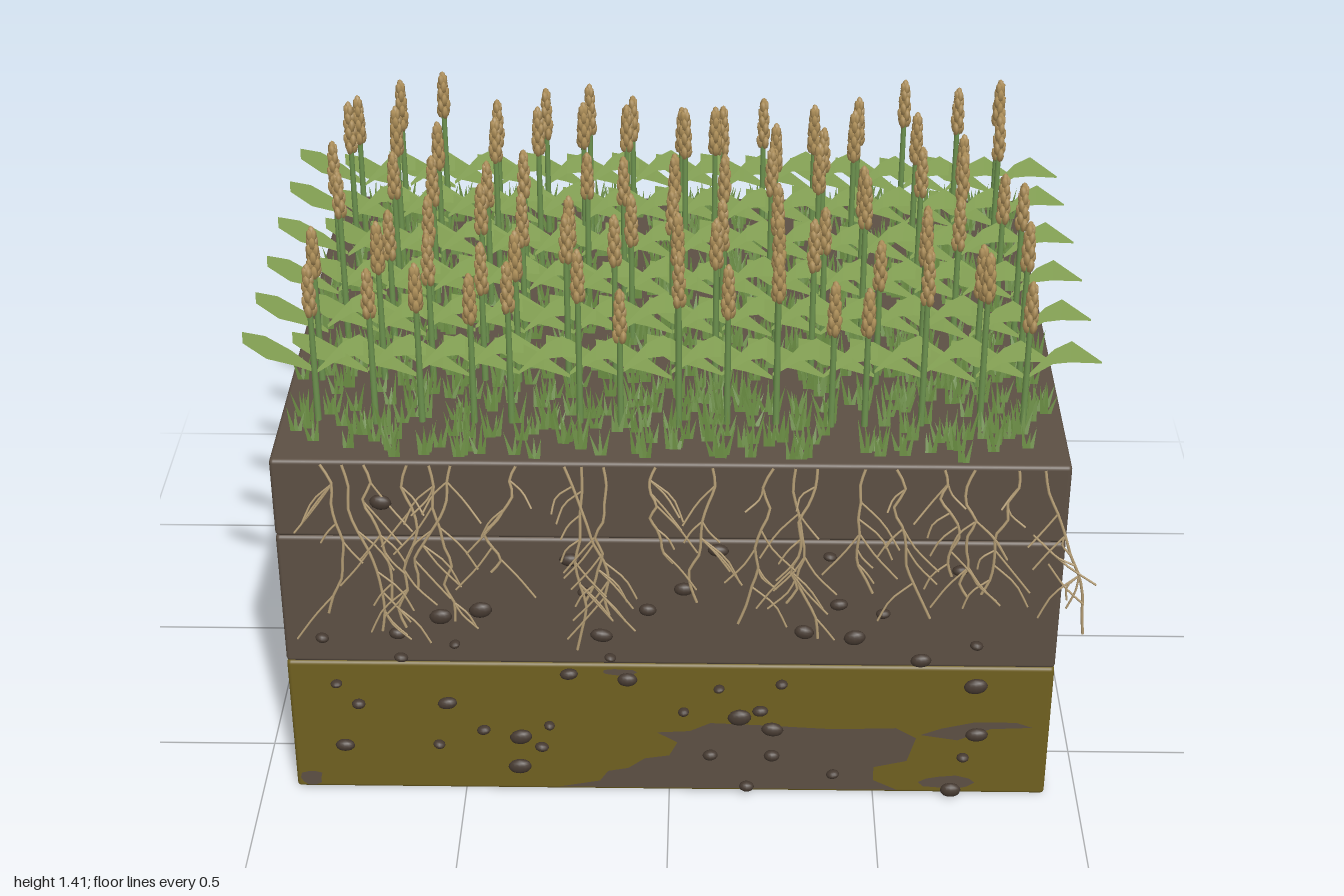
import * as THREE from 'three';
import { mergeGeometries } from 'three/addons/utils/BufferGeometryUtils.js';
import { RoundedBoxGeometry } from 'three/addons/geometries/RoundedBoxGeometry.js';

// Small seeded generator so that the field is always the same
let seed = 7;
const rnd = (a = 0, b = 1) => {
  seed = (seed * 16807) % 2147483647;
  return a + (b - a) * (seed / 2147483647);
};

const mat = (name, color, extra = {}) => {
  const m = new THREE.MeshStandardMaterial({ color, ...extra });
  m.name = name;
  return m;
};

const X0 = -0.918, X1 = 0.922, Z0 = -0.705, Z1 = 0.67, TOP = 0.948;

// Open surface from loose triangles
function triangles(points) {
  const g = new THREE.BufferGeometry();
  g.setAttribute('position', new THREE.Float32BufferAttribute(points, 3));
  g.computeVertexNormals();
  return g;
}

// Strip between two edges made of matching points
function strip(lower, upper) {
  const p = [];
  for (let i = 0; i < lower.length - 1; i++) {
    const [a, b, c, d] = [lower[i], lower[i + 1], upper[i + 1], upper[i]];
    p.push(...a, ...b, ...c, ...a, ...c, ...d);
  }
  return triangles(p);
}

// Leaf blade standing on edge and sweeping back; side is +1 or -1
function leaf(side) {
  const path = side > 0
    ? [[0, 1.085, 0.004], [0.06, 1.135, 0.018], [0.10, 1.145, 0.026], [0.175, 1.11, 0.002]]
    : [[0, 1.075, 0.004], [0.06, 1.105, 0.018], [0.12, 1.125, 0.028], [0.175, 1.145, 0.014]];
  const edge = (s) => path.map(([x, y, w]) => [x * side, y + s * w, -0.008 - x * 0.17 - s * w * 0.15]);
  return side > 0 ? strip(edge(-1), edge(1)) : strip(edge(1), edge(-1));
}

// Seed head: whorls of plump grains, tapering to the tip
function seedHead(height) {
  const parts = [];
  const rings = 6;
  const grain = () => new THREE.SphereGeometry(1, 5, 4).scale(0.0095, 0.019, 0.0095);
  for (let r = 0; r < rings; r++) {
    const t = r / (rings - 1);
    const radius = 0.0095 * (1 - 0.6 * t * t);
    for (let k = 0; k < 3; k++) {
      const a = (k + (r % 2) / 2) * Math.PI * 2 / 3;
      parts.push(grain().rotateZ(-0.15).rotateY(-a)
        .translate(Math.cos(a) * radius, 0.016 + t * (height - 0.042), Math.sin(a) * radius));
    }
  }
  parts.push(grain().translate(0, height - 0.018, 0));
  return mergeGeometries(parts);
}

const tube = (pts, r, seg) => new THREE.TubeGeometry(
  new THREE.CatmullRomCurve3(pts.map((p) => new THREE.Vector3(...p))), seg, r, 10);

// One root with wandering main strand and diagonal branches
function root(x, depth, out) {
  const pts = [];
  const n = 8;
  let px = x;
  for (let i = 0; i <= n; i++) {
    const t = i / n;
    pts.push([px, TOP - 0.005 - t * depth, 0.676 + 0.02 * Math.min(1, t * 2.5)]);
    px += rnd(-0.026, 0.026);
  }
  out.push(tube(pts, 0.0034, 16));
  for (let k = 0; k < 6; k++) {
    const [bx, by, bz] = pts[1 + Math.floor(rnd(0, n - 1))];
    const s = rnd() < 0.5 ? -1 : 1;
    const len = rnd(0.05, 0.13);
    const bend = rnd(-0.015, 0.015);
    const ex = Math.max(-0.9, Math.min(0.93, bx + s * len * 0.75));
    out.push(tube([[bx, by, bz], [(bx + ex) / 2 + bend, by - len * 0.45, bz + 0.003],
      [ex, by - len, 0.699]], 0.0025, 5));
  }
}

export function createModel() {
  seed = 7;
  const model = new THREE.Group();
  const topsoil = mat('brown soil', 0x5d5044);
  const clay = mat('ochre clay', 0x706020);
  const stoneMat = mat('dark stone', 0x463a31);
  const rootMat = mat('pale root', 0xb39c74);
  const stemMat = mat('stem green', 0x6c914e);
  const leafMat = mat('leaf green', 0x8cab58, { side: THREE.DoubleSide });
  const grassMat = mat('grass green', 0x66883f, { side: THREE.DoubleSide });
  const grainMat = mat('ripe grain', 0xb0915a);

  const add = (name, geometry, material) => {
    const m = new THREE.Mesh(geometry, material);
    m.name = name;
    model.add(m);
  };

  // Soil layers with softened edges
  const layer = (name, y0, y1, material) => add(name,
    new RoundedBoxGeometry(X1 - X0, y1 - y0, Z1 - Z0, 3, 0.01)
      .translate((X0 + X1) / 2, (y0 + y1) / 2, (Z0 + Z1) / 2), material);
  layer('clayLayer', 0, 0.381, clay);
  layer('subsoilLayer', 0.381, 0.74, topsoil);
  layer('topsoilLayer', 0.74, TOP, topsoil);

  // Brown stains on the faces of the clay
  const stain = (pts) => new THREE.ShapeGeometry(new THREE.Shape(pts.map((p) => new THREE.Vector2(...p))));
  const blob = (x, y, w, h) => stain(Array.from({ length: 10 }, (_, i) => {
    const a = i / 10 * Math.PI * 2, k = rnd(0.75, 1.1);
    return [x + Math.cos(a) * w * k, Math.max(0.008, y + Math.sin(a) * h * k)];
  }));
  const front = [
    stain([[-0.27, 0.01], [0.56, 0.01], [0.5, 0.04], [0.5, 0.08], [0.58, 0.1], [0.6, 0.17], [0.55, 0.2],
      [0.4, 0.195], [0.22, 0.205], [0.1, 0.21], [0.05, 0.185], [-0.03, 0.18], [0.02, 0.15], [0, 0.11],
      [-0.06, 0.1], [-0.1, 0.07], [-0.15, 0.06], [-0.17, 0.03]]),
    stain([[0.61, 0.18], [0.7, 0.165], [0.78, 0.2], [0.88, 0.205], [0.84, 0.22], [0.74, 0.22], [0.66, 0.2]]),
    blob(-0.88, 0.03, 0.03, 0.025), blob(0.68, 0.035, 0.07, 0.022), blob(-0.12, 0.36, 0.04, 0.01),
  ];
  add('frontStains', mergeGeometries(front).translate(0, 0, Z1 + 0.002), topsoil);
  add('rightStains', mergeGeometries([blob(0.07, 0.35, 0.035, 0.012), blob(-0.48, 0.02, 0.025, 0.012)])
    .rotateY(Math.PI / 2).translate(X1 + 0.002, 0, 0), topsoil);
  add('leftStains', mergeGeometries([blob(0.55, 0.25, 0.07, 0.035), blob(0.42, 0.15, 0.04, 0.02)])
    .rotateY(-Math.PI / 2).translate(X0 - 0.002, 0, 0), topsoil);
  add('backStain', blob(-0.19, 0.36, 0.05, 0.012).rotateY(Math.PI).translate(0, 0, Z0 - 0.002), topsoil);

  // Stones set into the front face: x, y pairs
  const spots = [-0.665, 0.845, -0.23, 0.69, -0.2, 0.6, -0.825, 0.46, -0.645, 0.475, -0.445, 0.545, -0.54, 0.525,
    -0.64, 0.405, -0.8, 0.325, -0.75, 0.265, -0.535, 0.27, -0.45, 0.19, -0.56, 0.145, -0.36, 0.17, -0.29, 0.205,
    -0.365, 0.08, -0.31, 0.14, -0.24, 0.36, -0.1, 0.345, 0.12, 0.32, 0.27, 0.335, 0.035, 0.25, 0.17, 0.235,
    0.22, 0.255, 0.25, 0.2, 0.25, 0.12, 0.1, 0.12, 0.19, 0.025, 0.4, 0.065, 0.735, 0.335, 0.745, 0.19,
    0.715, 0.12, 0.69, 0.02, 0.73, 0.455, 0.035, 0.61, -0.05, 0.55, 0.115, 0.72, 0.4, 0.57, 0.505, 0.545,
    0.68, 0.67, 0.44, 0.475, 0.32, 0.49, 0.6, 0.41, -0.16, 0.475, -0.14, 0.41, -0.51, 0.445, 0.375, 0.705,
    -0.79, 0.14];
  const stones = [];
  for (let i = 0; i < spots.length; i += 2) {
    const w = rnd(0.013, 0.029);
    stones.push(new THREE.SphereGeometry(1, 12, 8)
      .scale(w, w * rnd(0.6, 0.75), 0.014).rotateZ(rnd(-0.2, 0.2))
      .translate(spots[i], Math.max(0.018, spots[i + 1]), 0.682));
  }
  add('stones', mergeGeometries(stones), stoneMat);

  // Roots hanging down the front face
  const roots = [];
  for (const [x, d] of [[-0.8, 0.4], [-0.75, 0.45], [-0.7, 0.36], [-0.6, 0.44], [-0.55, 0.42], [-0.5, 0.33],
    [-0.35, 0.28], [-0.24, 0.4], [-0.2, 0.5], [-0.15, 0.36], [-0.03, 0.25], [0.1, 0.36], [0.24, 0.42],
    [0.29, 0.46], [0.34, 0.36], [0.45, 0.33], [0.52, 0.4], [0.63, 0.28], [0.7, 0.34], [0.8, 0.33],
    [0.86, 0.44]]) root(x, d, roots);
  for (const [x0, y0, x1, y1] of [[0.84, 0.78, 0.995, 0.645], [0.88, 0.7, 0.97, 0.59], [0.86, 0.76, 0.94, 0.7]]) {
    roots.push(tube([[x0, y0, 0.695], [(x0 + x1) / 2, (y0 + y1) / 2 - 0.01, 0.699], [x1, y1, 0.7]], 0.0025, 5));
  }
  add('roots', mergeGeometries(roots), rootMat);

  // Short grass: fans of flat blades facing the front and leaning back
  const blades = [];
  for (let i = 0; i < 950; i++) {
    const x = rnd(X0 + 0.03, X1 - 0.03), z = rnd(Z0 + 0.03, Z1 - 0.015);
    for (let k = -1; k <= 1; k++) {
      const bx = x + k * 0.007, h = rnd(0.04, 0.085), lean = k * 0.013 + rnd(-0.008, 0.008);
      blades.push(bx - 0.006, TOP, z, bx + 0.006, TOP, z, bx + lean, TOP + h, z - rnd(0.004, 0.02));
    }
  }
  add('grass', triangles(blades), grassMat);

  // Crop: six rows of fifteen plants
  const stems = [], leaves = [], heads = [];
  for (let r = 0; r < 6; r++) {
    for (let c = 0; c < 15; c++) {
      const x = -0.82 + c * 0.1175, z = 0.495 - r * 0.197;
      const dx = rnd(-0.022, 0.022), dz = rnd(-0.01, 0.01);
      const top = rnd(1.31, 1.413), h = rnd(0.125, 0.145);
      const stemH = top - h + 0.02 - TOP;
      stems.push(new THREE.CylinderGeometry(0.0065, 0.008, stemH, 12, 1, true)
        .translate(x + dx, TOP + stemH / 2, z + dz));
      heads.push(seedHead(h).rotateY(rnd(0, 1.5)).translate(x + dx, top - h, z + dz));
      for (const s of [-1, 1]) {
        leaves.push(leaf(s).rotateY(rnd(-0.04, 0.04)).translate(x, rnd(-0.008, 0.008), z));
      }
    }
  }
  add('stems', mergeGeometries(stems), stemMat);
  add('leaves', mergeGeometries(leaves), leafMat);
  add('seedHeads', mergeGeometries(heads), grainMat);

  return model;
}
